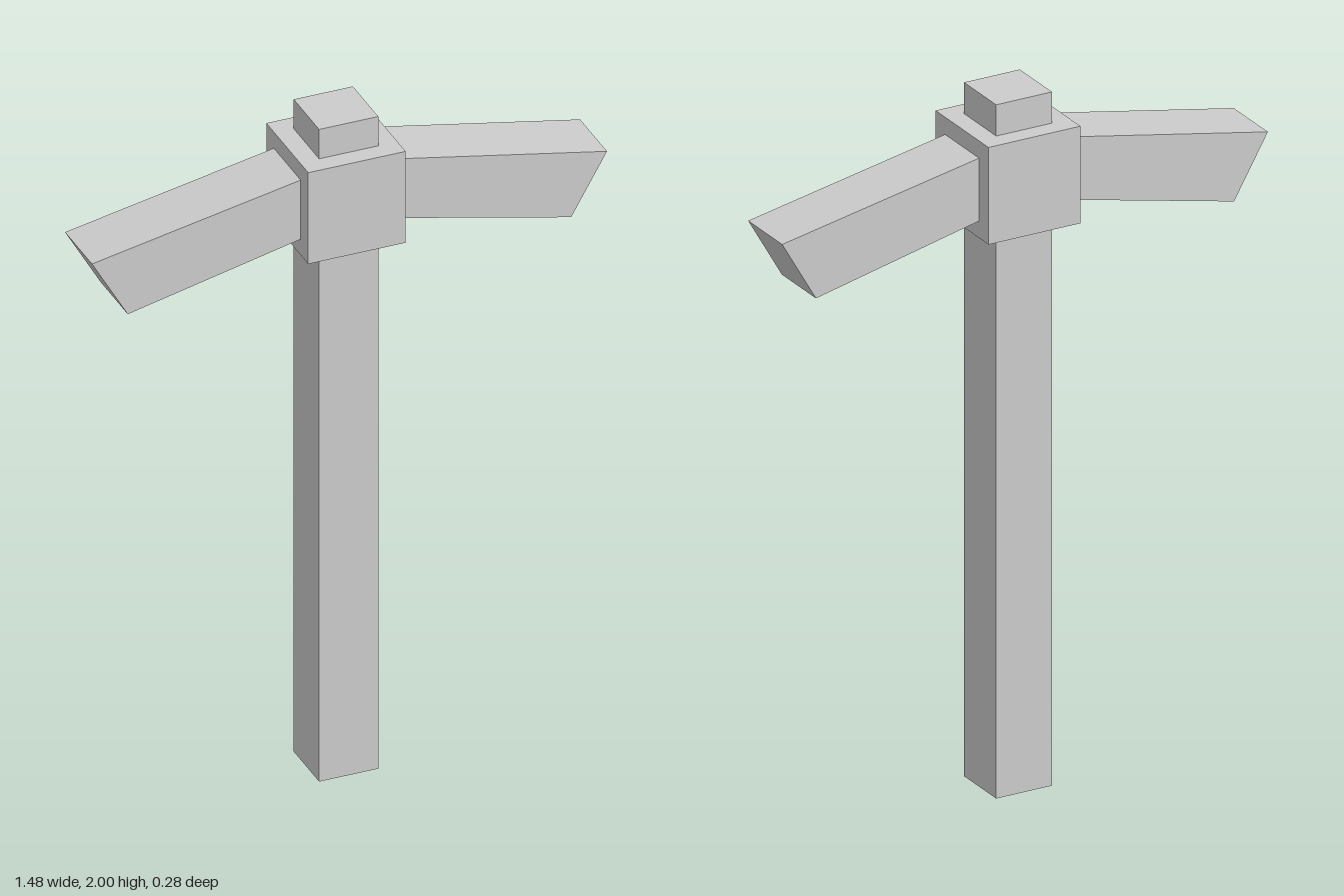
import * as THREE from 'three';

export function createModel() {
  const model = new THREE.Group();
  const material = new THREE.MeshStandardMaterial({ color: 0xcccccc, flatShading: true });

  const add = (name, geometry, y = 0) => {
    const mesh = new THREE.Mesh(geometry, material);
    mesh.name = name;
    mesh.position.y = y;
    model.add(mesh);
  };

  // Square shaft running through the collar to the top
  add('handle', new THREE.BoxGeometry(0.17, 2, 0.17), 1);

  // Cube that holds the head on the shaft
  add('collar', new THREE.BoxGeometry(0.28, 0.28, 0.28), 1.77);

  // Drooping arms with slanted tips, rooted inside the collar
  const profile = [[0.1, 1.688], [0.637, 1.565], [0.74, 1.743], [0.1, 1.868]];
  for (const [name, side] of [['leftArm', 1], ['rightArm', -1]]) {
    const shape = new THREE.Shape(profile.map(([x, y]) => new THREE.Vector2(side * x, y)));
    const arm = new THREE.ExtrudeGeometry(shape, { depth: 0.18, bevelEnabled: false });
    add(name, arm.translate(0, 0, -0.09));
  }

  return model;
}
